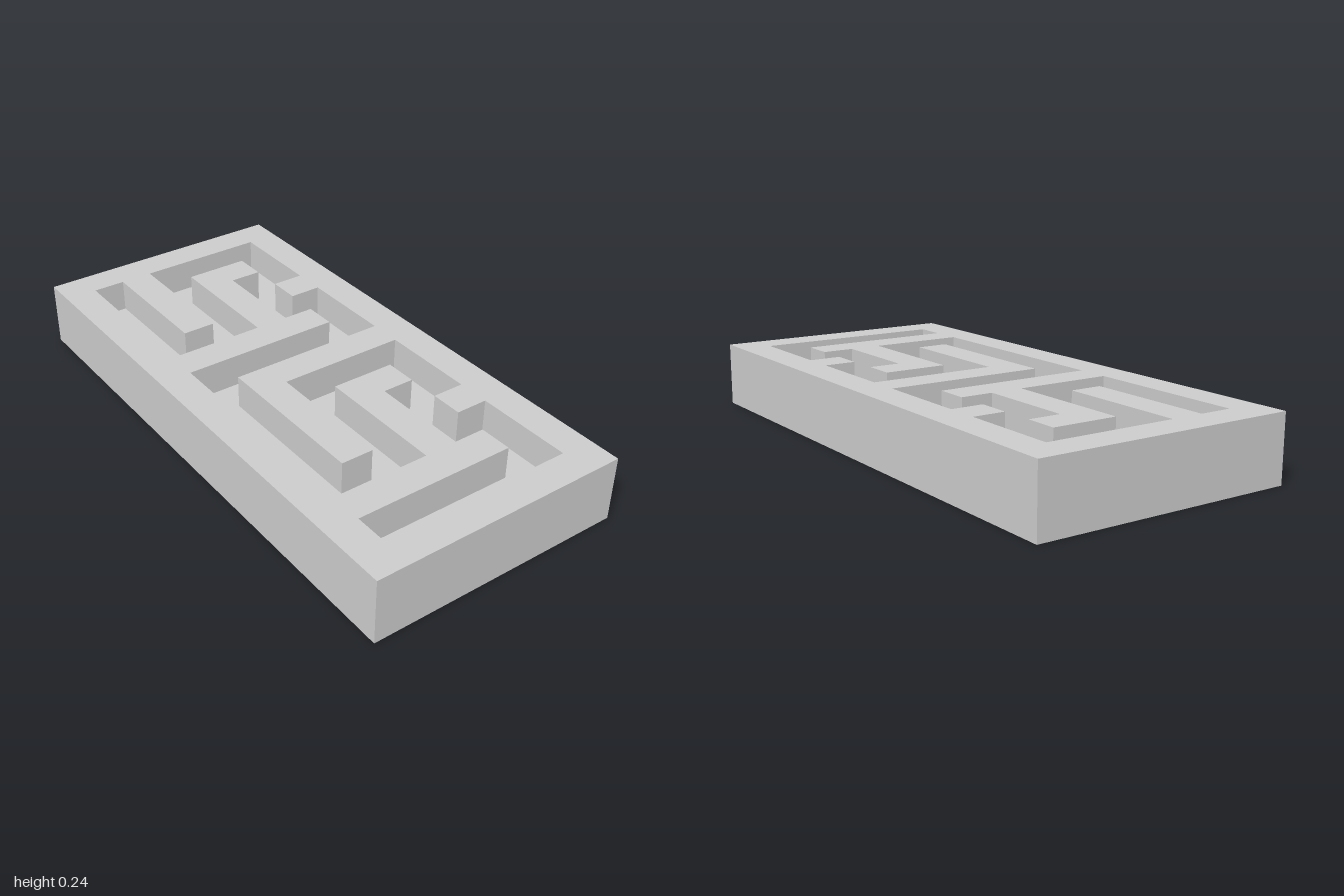
import * as THREE from 'three';

// Square module: the block is 17 x 8 cells and 2 cells high
const CELL = 2 / 17;
const COLS = 17, ROWS = 8;

// Block corners, counter-clockwise in plan so that the groove walls face inwards
const OUTLINE = [[0, 0], [0, ROWS], [COLS, ROWS], [COLS, 0]];

// Corners of the meandering groove as [column, row], row 0 at the back
const GROOVE = [
  [1, 1], [4, 1], [4, 2], [5, 2], [5, 1], [8, 1], [8, 6], [13, 6], [13, 5], [9, 5],
  [9, 1], [12, 1], [12, 2], [13, 2], [13, 1], [16, 1], [16, 7], [15, 7], [15, 2], [14, 2],
  [14, 3], [11, 3], [11, 2], [10, 2], [10, 4], [14, 4], [14, 7], [7, 7], [7, 2], [6, 2],
  [6, 3], [3, 3], [3, 2], [2, 2], [2, 4], [6, 4], [6, 7], [1, 7], [1, 6], [5, 6],
  [5, 5], [1, 5],
];

// Grid corner to shape plane (shape y becomes -z once laid flat)
const toPlan = ([col, row]) =>
  new THREE.Vector2((col - COLS / 2) * CELL, (ROWS / 2 - row) * CELL);

export function createModel() {
  const group = new THREE.Group();
  group.name = 'meanderBlock';
  const material = new THREE.MeshStandardMaterial({ color: 0xcccccc, flatShading: true });

  // Solid slab forming the groove floor
  const slab = new THREE.Mesh(new THREE.BoxGeometry(COLS * CELL, CELL, ROWS * CELL), material);
  slab.name = 'baseSlab';
  slab.position.y = CELL / 2;
  group.add(slab);

  // Upper layer: rim and fret walls, with the groove cut through
  const shape = new THREE.Shape(OUTLINE.map(toPlan));
  shape.holes.push(new THREE.Path(GROOVE.map(toPlan)));
  const wallGeometry = new THREE.ExtrudeGeometry(shape, { depth: CELL, bevelEnabled: false });
  wallGeometry.rotateX(-Math.PI / 2);
  const walls = new THREE.Mesh(wallGeometry, material);
  walls.name = 'fretWalls';
  walls.position.y = CELL;
  group.add(walls);

  return group;
}
